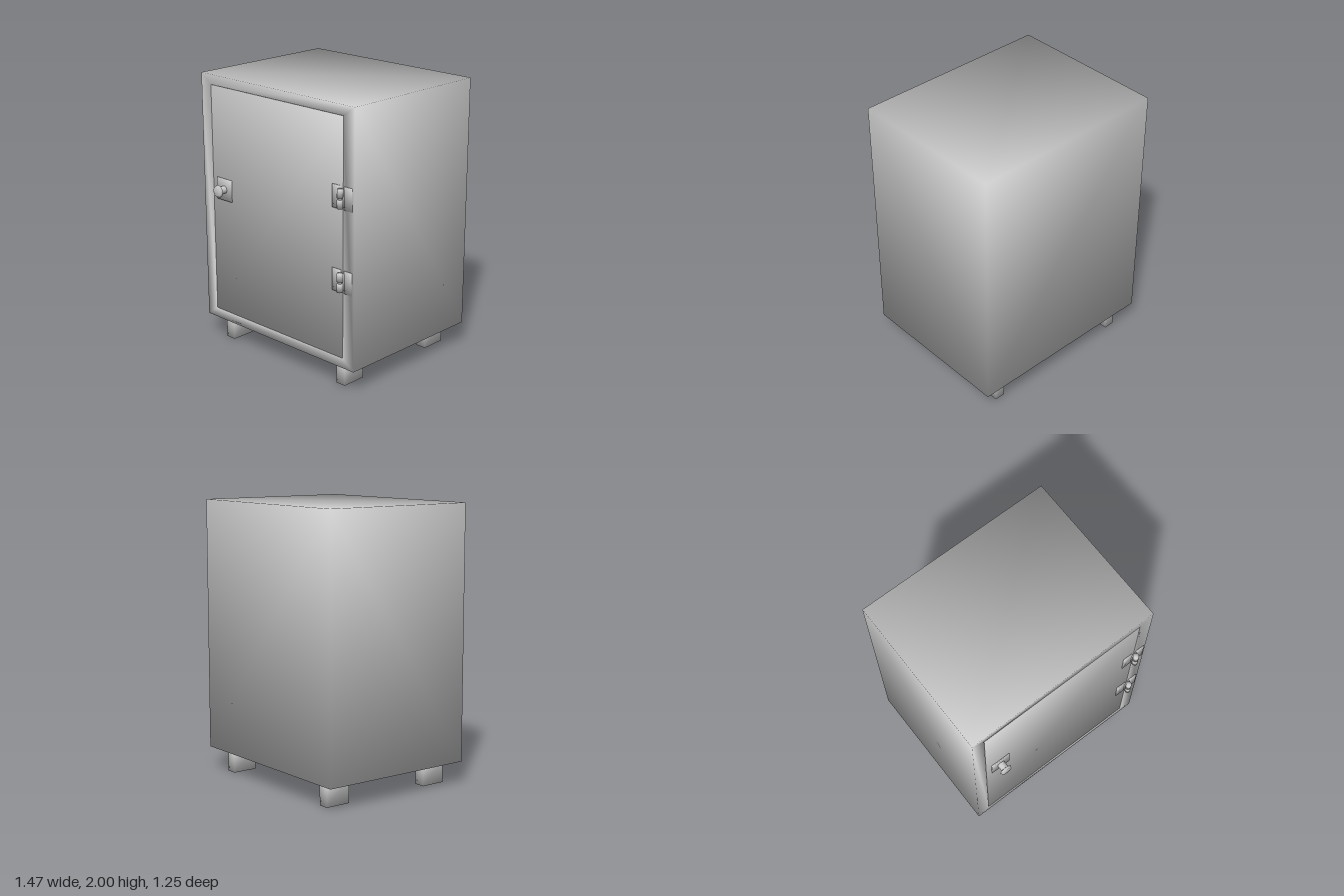
import * as THREE from 'three';
import { mergeVertices } from 'three/addons/utils/BufferGeometryUtils.js';

const material = new THREE.MeshStandardMaterial({ color: 0xcccccc });

// Share corner vertices and blend the face normals, weighted by corner angle
function soften(geometry) {
  geometry.deleteAttribute('normal');
  geometry.deleteAttribute('uv');
  const merged = mergeVertices(geometry);
  const position = merged.attributes.position;
  const index = merged.index;
  const normals = Array.from({ length: position.count }, () => new THREE.Vector3());
  for (let t = 0; t < index.count; t += 3) {
    const ids = [0, 1, 2].map((k) => index.getX(t + k));
    const p = ids.map((id) => new THREE.Vector3().fromBufferAttribute(position, id));
    const faceNormal = new THREE.Triangle(...p).getNormal(new THREE.Vector3());
    ids.forEach((id, k) => {
      const u = p[(k + 1) % 3].clone().sub(p[k]);
      const v = p[(k + 2) % 3].clone().sub(p[k]);
      normals[id].addScaledVector(faceNormal, u.angleTo(v));
    });
  }
  const flat = normals.flatMap((n) => n.normalize().toArray());
  merged.setAttribute('normal', new THREE.Float32BufferAttribute(flat, 3));
  return merged;
}

function add(parent, name, geometry, x = 0, y = 0, z = 0) {
  const mesh = new THREE.Mesh(geometry, material);
  mesh.name = name;
  mesh.position.set(x, y, z);
  parent.add(mesh);
}

// Soft-shaded box given by its extents
function block(parent, name, x0, x1, y0, y1, z0, z1) {
  const geometry = soften(new THREE.BoxGeometry(x1 - x0, y1 - y0, z1 - z0));
  add(parent, name, geometry, (x0 + x1) / 2, (y0 + y1) / 2, (z0 + z1) / 2);
}

// Box shell built from rectangles: back, front, door opening, recess floor
function bodyGeometry() {
  const rect = (x0, x1, y0, y1, z) => [[x0, y0, z], [x1, y0, z], [x1, y1, z], [x0, y1, z]];
  const rings = [
    rect(-0.735, 0.735, 0.168, 2, -0.625),
    rect(-0.735, 0.735, 0.168, 2, 0.548),
    rect(-0.641, 0.636, 0.237, 1.928, 0.548),
    rect(-0.641, 0.636, 0.237, 1.928, 0.52),
  ];
  const points = [];
  const quad = (a, b, c, d) => points.push(...a, ...b, ...c, ...a, ...c, ...d);
  for (let r = 0; r < rings.length - 1; r++) {
    for (let i = 0; i < 4; i++) {
      const j = (i + 1) % 4;
      quad(rings[r][i], rings[r][j], rings[r + 1][j], rings[r + 1][i]);
    }
  }
  quad(...rings[3]);
  quad(...rings[0].toReversed());
  const geometry = new THREE.BufferGeometry();
  geometry.setAttribute('position', new THREE.Float32BufferAttribute(points, 3));
  return soften(geometry);
}

function createHinge(y) {
  const hinge = new THREE.Group();
  hinge.name = 'hinge';
  hinge.position.y = y;
  block(hinge, 'doorLeaf', 0.543, 0.617, -0.08, 0.08, 0.543, 0.554);
  block(hinge, 'frameLeaf', 0.65, 0.719, -0.08, 0.08, 0.543, 0.554);
  // Strip joining the leaves behind the knuckles
  block(hinge, 'leafTab', 0.612, 0.655, -0.06, 0.06, 0.543, 0.557);
  for (const s of [-1, 1]) {
    const knuckle = soften(new THREE.CylinderGeometry(0.021, 0.021, 0.06, 16));
    add(hinge, 'knuckle', knuckle, 0.633, s * 0.036, 0.575);
  }
  add(hinge, 'pin', new THREE.CylinderGeometry(0.014, 0.014, 0.1, 12), 0.633, 0, 0.575);
  return hinge;
}

function createLock() {
  const lock = new THREE.Group();
  lock.name = 'lock';
  lock.position.set(-0.52, 1.183, 0);
  block(lock, 'lockPlate', -0.075, 0.075, -0.08, 0.08, 0.54, 0.554);
  const stem = new THREE.CylinderGeometry(0.028, 0.028, 0.06, 24);
  add(lock, 'knobStem', stem.rotateX(Math.PI / 2), 0, 0, 0.575);
  // Knob head: flared disc that narrows to a flat face
  const profile = [[0, 0.602], [0.036, 0.602], [0.045, 0.606], [0.037, 0.623], [0, 0.623]];
  const head = new THREE.LatheGeometry(profile.map(([r, h]) => new THREE.Vector2(r, h)), 24);
  add(lock, 'knobHead', head.rotateX(Math.PI / 2));
  return lock;
}

export function createModel() {
  const model = new THREE.Group();
  model.name = 'cabinet';
  add(model, 'body', bodyGeometry());
  block(model, 'door', -0.638, 0.633, 0.24, 1.925, 0.525, 0.547);

  // Four legs under the flat bottom
  for (const x of [-0.567, 0.558]) {
    for (const z of [-0.463, 0.393]) {
      block(model, 'leg', x - 0.04, x + 0.04, 0, 0.168, z - 0.093, z + 0.093);
    }
  }

  for (const y of [0.797, 1.38]) model.add(createHinge(y));
  model.add(createLock());
  return model;
}
